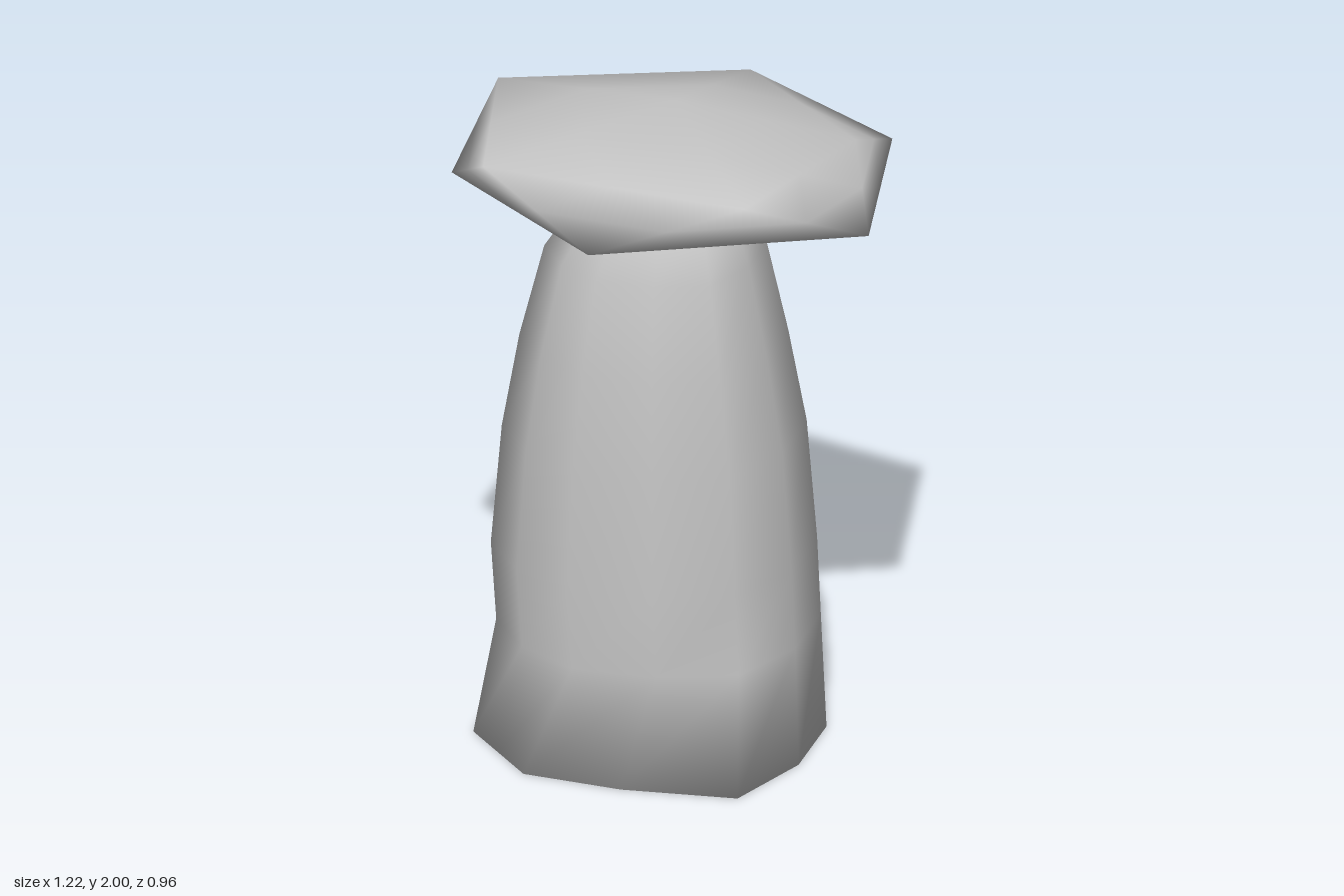
import * as THREE from 'three';

const stone = new THREE.MeshStandardMaterial({ color: 0xc4c4c4 });
stone.name = 'stone';

// Indexed faces share vertices, so shading stays smooth across the rock
function rock(name, points, faces) {
  const geo = new THREE.BufferGeometry();
  geo.setAttribute('position', new THREE.Float32BufferAttribute(points.flat(), 3));
  geo.setIndex(faces.flat());
  geo.computeVertexNormals();
  const mesh = new THREE.Mesh(geo, stone);
  mesh.name = name;
  return mesh;
}

// Split every triangle in four, sharing the edge midpoints
function subdivide(points, faces) {
  const cache = new Map();
  const mid = (a, b) => {
    const key = a < b ? `${a},${b}` : `${b},${a}`;
    if (!cache.has(key)) {
      cache.set(key, points.length);
      points.push(points[a].map((v, k) => (v + points[b][k]) / 2));
    }
    return cache.get(key);
  };
  return faces.flatMap(([a, b, c]) => {
    const ab = mid(a, b), bc = mid(b, c), ca = mid(c, a);
    return [[a, ab, ca], [ab, b, bc], [ca, bc, c], [ab, bc, ca]];
  });
}

// Cap stone: a flattened, uneven twenty-sided boulder
function makeCap() {
  const points = [
    [0.02, 2.0, -0.04],
    [0.525, 1.89, -0.05], [0.2, 1.9, -0.455], [-0.5, 1.91, -0.33], [-0.5, 1.91, 0.24], [0.25, 1.92, 0.48],
    [0.605, 1.74, -0.37], [-0.15, 1.76, -0.45], [-0.61, 1.75, -0.045], [-0.19, 1.745, 0.445], [0.585, 1.745, 0.265],
    [0.03, 1.685, 0.0],
  ];
  const faces = [];
  for (let i = 0; i < 5; i++) {
    const j = (i + 1) % 5;
    const u = 1 + i, un = 1 + j, l = 6 + i, ln = 6 + j;
    faces.push([0, u, un], [u, l, un], [l, ln, un], [11, ln, l]);
  }
  return rock('capStone', points, subdivide(points, faces));
}

// Pillar: a pentagonal foot rising into a rounder, tapering shaft
function makePillar() {
  const foot = [[0.435, -0.165], [0.225, -0.335], [-0.08, -0.477], [-0.31, -0.27], [-0.55, -0.06],
    [-0.47, 0.07], [-0.39, 0.2], [-0.11, 0.28], [0.22, 0.313], [0.375, 0.085]];
  const shaft = [[0.42, -0.15], [0.27, -0.33], [-0.05, -0.43], [-0.31, -0.27], [-0.485, -0.05],
    [-0.4, 0.125], [-0.25, 0.255], [-0.01, 0.295], [0.22, 0.265], [0.365, 0.08]];
  // height, left edge, right edge, back edge, front edge
  const levels = [
    [0.36, -0.485, 0.42, -0.43, 0.295],
    [0.6, -0.5, 0.41, -0.42, 0.29],
    [0.96, -0.47, 0.38, -0.425, 0.275],
    [1.25, -0.42, 0.33, -0.37, 0.245],
    [1.53, -0.35, 0.27, -0.32, 0.2],
    [1.7, -0.24, 0.2, -0.23, 0.12],
  ];
  const n = foot.length;
  const points = foot.map(([x, z]) => [x, 0, z]);
  for (const [y, x0, x1, z0, z1] of levels) {
    for (const [x, z] of shaft) {
      points.push([
        THREE.MathUtils.mapLinear(x, -0.485, 0.42, x0, x1), y,
        THREE.MathUtils.mapLinear(z, -0.43, 0.295, z0, z1),
      ]);
    }
  }
  const faces = [];
  const bottom = points.push([-0.04, 0, -0.06]) - 1;
  const top = points.push([-0.02, 1.72, -0.05]) - 1;
  for (let i = 0; i < n; i++) {
    const j = (i + 1) % n;
    for (let r = 0; r < levels.length; r++) {
      const a = r * n + i, b = r * n + j;
      faces.push([a, b, b + n], [a, b + n, a + n]);
    }
    faces.push([bottom, j, i], [top, levels.length * n + i, levels.length * n + j]);
  }
  return rock('pillar', points, faces);
}

export function createModel() {
  const group = new THREE.Group();
  group.name = 'mushroomRock';
  group.add(makePillar(), makeCap());
  return group;
}
